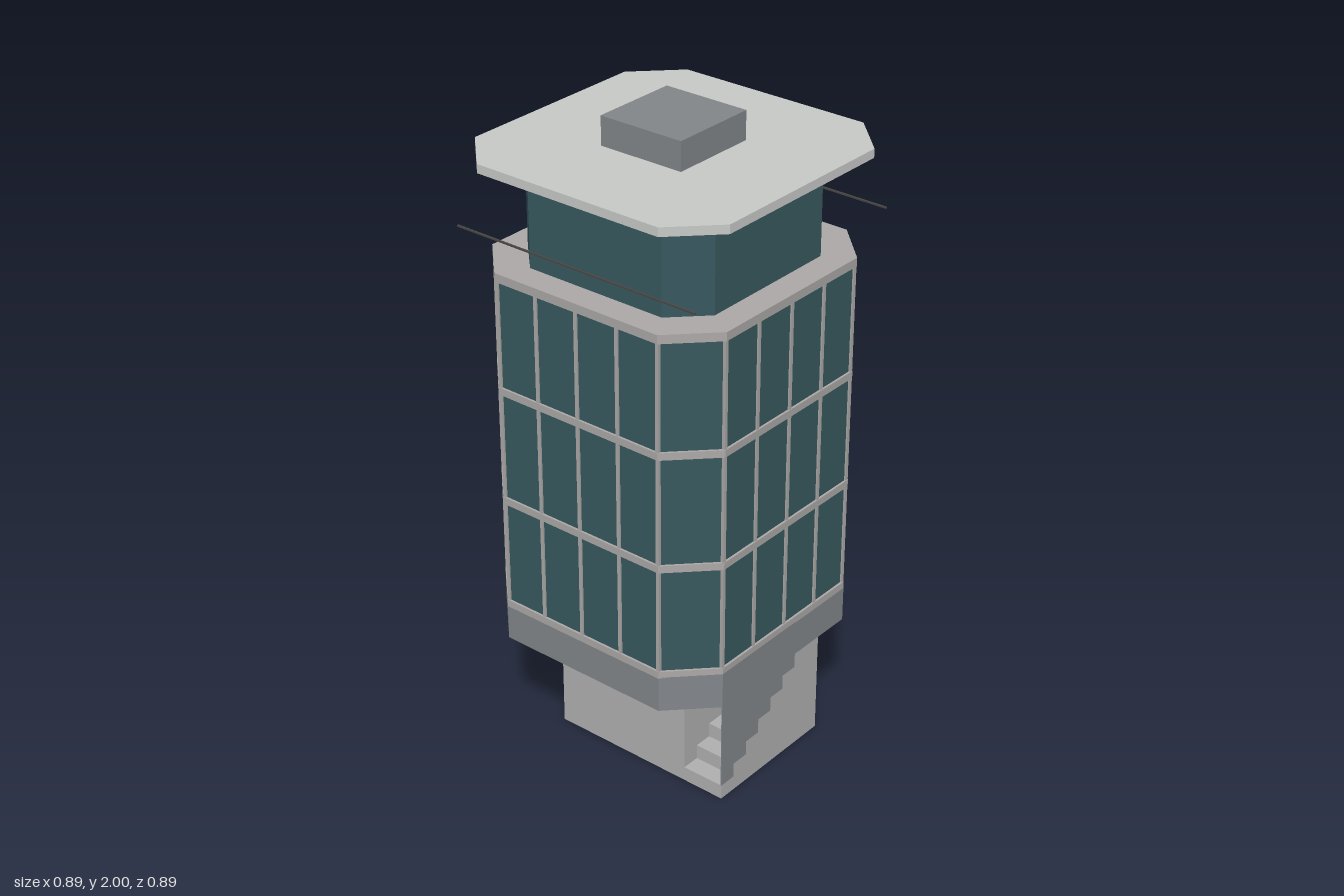
import * as THREE from 'three';

const mat = (name, color) => {
  const m = new THREE.MeshStandardMaterial({ color });
  m.name = name;
  return m;
};

export function createModel() {
  const tower = new THREE.Group();
  tower.name = 'tower';

  const glass = mat('teal glass', 0x37595f);
  const concrete = mat('light concrete', 0xb0b0b0);
  const dark = mat('dark grey', 0x82868a);
  const trim = mat('warm grey trim', 0xaca9a8);
  const roofGrey = mat('pale roof', 0xc8cac8);
  const railMat = mat('rail metal', 0x4a4846);

  const add = (name, geometry, material, parent = tower) => {
    const mesh = new THREE.Mesh(geometry, material);
    mesh.name = name;
    parent.add(mesh);
    return mesh;
  };
  const box = (name, w, h, d, x, y, z, material, parent) =>
    add(name, new THREE.BoxGeometry(w, h, d), material, parent).position.set(x, y, z);
  const polygon = (pts) => new THREE.Shape(pts.map(([x, y]) => new THREE.Vector2(x, y)));

  // Square slab with cut corners; h is the half width, f the half length of a flat side
  const octagon = (name, h, f, y0, y1, material) => {
    const shape = polygon([[h, -f], [h, f], [f, h], [-f, h], [-h, f], [-h, -f], [-f, -h], [f, -h]]);
    const g = new THREE.ExtrudeGeometry(shape, { depth: y1 - y0, bevelEnabled: false });
    g.rotateX(-Math.PI / 2).translate(0, y0, 0);
    return add(name, g, material);
  };

  // Side profile (drawn as -z, y) extruded along x
  const sidePanel = (name, pts, x0, x1, material) => {
    const g = new THREE.ExtrudeGeometry(polygon(pts), { depth: x1 - x0, bevelEnabled: false });
    g.rotateY(Math.PI / 2).translate(x0, 0, 0);
    return add(name, g, material);
  };

  // Core at ground level
  box('baseCore', 0.48, 0.38, 0.48, 0, 0.19, 0, concrete);

  // Outside staircase climbing towards the back, with a thin side wall above it
  const steps = 8, rise = 0.38 / steps, run = 0.058, start = -0.24;
  const treads = [];
  for (let i = 0; i < steps; i++) {
    treads.push([start + i * run, (i + 1) * rise], [start + (i + 1) * run, (i + 1) * rise]);
  }
  const end = start + steps * run;
  const profile = [[start, 0]];
  treads.forEach((p) => profile.push(p));
  sidePanel('staircase', [...profile, [end, 0]], 0.24, 0.38, concrete);
  sidePanel('stairSideWall', [...treads.slice(0, -1), [start, 0.38]], 0.377, 0.38, dark);

  // Main body
  octagon('lowerLedge', 0.42, 0.29, 0.38, 0.495, dark);
  octagon('glassBody', 0.413, 0.287, 0.495, 1.565, glass);
  [[0.492, 0.515], [0.847, 0.87], [1.207, 1.23], [1.56, 1.587]].forEach(([a, b], i) =>
    octagon(i === 3 ? 'terraceSlab' : 'floorBand', 0.42, 0.29, a, b, trim));

  // Vertical window bars, repeated on the four sides
  for (let s = 0; s < 4; s++) {
    const side = new THREE.Group();
    side.name = 'windowBars';
    side.rotation.y = s * Math.PI / 2;
    for (const x of [-0.286, -0.145, 0, 0.145, 0.286]) {
      box('windowBar', 0.011, 1.05, 0.014, x, 1.04, 0.411, trim, side);
    }
    tower.add(side);
  }

  // Top storey, roof and rooftop box
  octagon('topStorey', 0.335, 0.235, 1.587, 1.885, glass);
  octagon('roof', 0.445, 0.315, 1.885, 1.912, roofGrey);
  box('rooftopBox', 0.28, 0.09, 0.28, 0, 1.955, 0, dark);

  // Terrace rails
  for (const z of [-0.422, 0.422]) {
    box('terraceRail', 0.84, 0.005, 0.005, 0, 1.692, z, railMat);
  }
  return tower;
}
